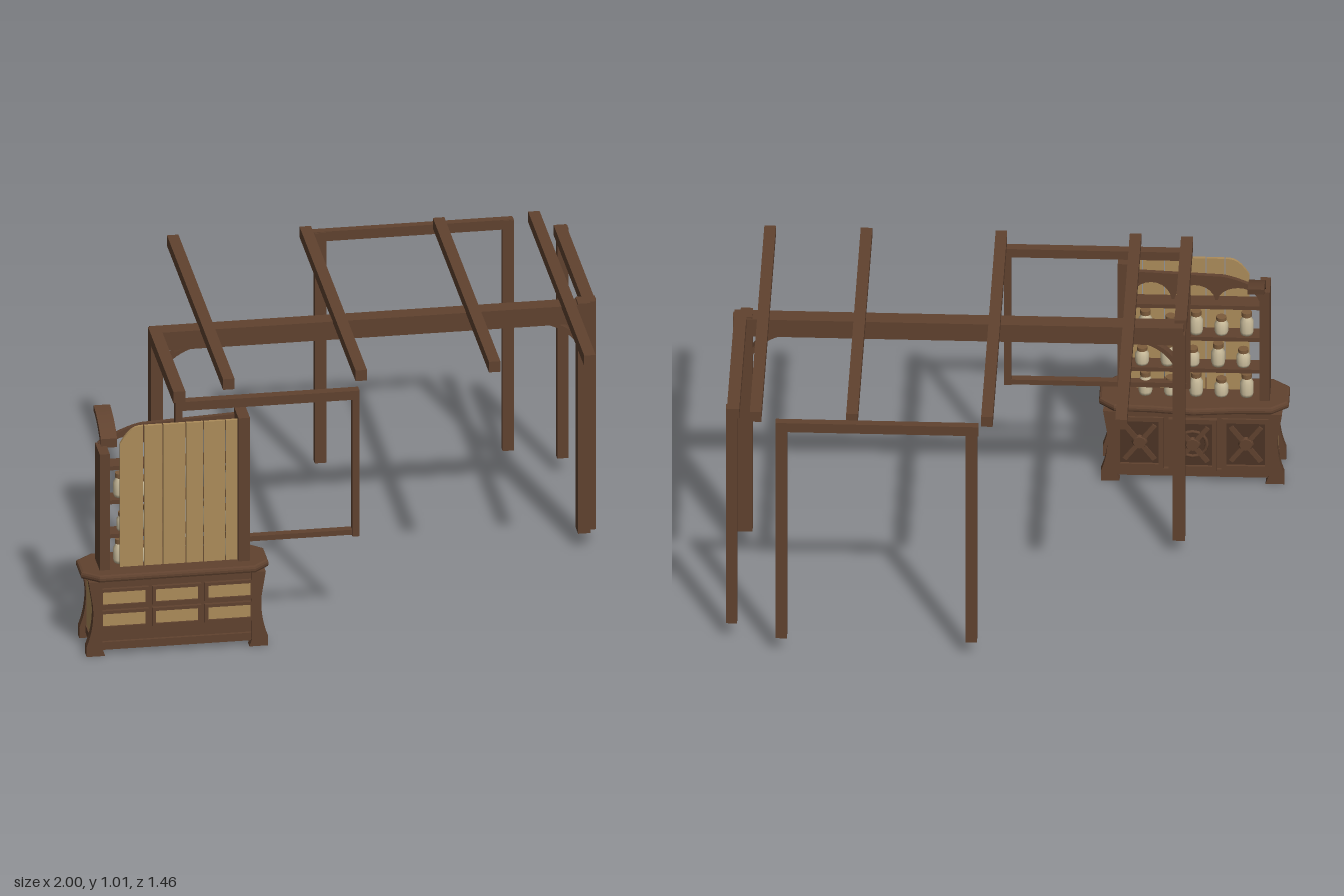
import * as THREE from 'three';

const mat = (name, color) => Object.assign(new THREE.MeshStandardMaterial({ color }), { name });

export function createModel() {
  const wood = mat('brown wood', 0x60422f);
  const darkWood = mat('dark wood', 0x4c3425);
  const pale = mat('pale plank', 0xac8c5a);
  const cream = mat('cream jar', 0xcbbd9c);
  const cork = mat('jar lid', 0x7d5c3c);

  const model = new THREE.Group();
  model.name = 'pergolaWithDresser';
  const group = (name, parent = model) => {
    const g = new THREE.Group();
    g.name = name;
    parent.add(g);
    return g;
  };
  const add = (parent, name, geo, m) => {
    const mesh = new THREE.Mesh(geo, m);
    mesh.name = name;
    parent.add(mesh);
    return mesh;
  };
  // Box given by its limits on each axis
  const box = (parent, name, m, [x0, x1], [y0, y1], [z0, z1]) => {
    const b = add(parent, name, new THREE.BoxGeometry(x1 - x0, y1 - y0, z1 - z0), m);
    b.position.set((x0 + x1) / 2, (y0 + y1) / 2, (z0 + z1) / 2);
    return b;
  };
  const shapeOf = pts => new THREE.Shape(pts.map(p => new THREE.Vector2(p[0], p[1])));
  const extrude = (shape, depth, opts = {}) =>
    new THREE.ExtrudeGeometry(shape, { depth, bevelEnabled: false, curveSegments: 10, ...opts });
  // Flat slab with an outline of [x, z] points
  const slab = (parent, name, m, pts, y0, y1, bevel = 0) => {
    const geo = extrude(shapeOf(pts.map(([x, z]) => [x, -z])), y1 - y0 - 2 * bevel,
      { bevelEnabled: bevel > 0, bevelSize: bevel, bevelThickness: bevel, bevelSegments: 2 });
    geo.rotateX(-Math.PI / 2).translate(0, y0 + bevel, 0);
    return add(parent, name, geo, m);
  };

  // ---- Pergola ----
  const pergola = group('pergola');
  box(pergola, 'mainBeam', wood, [-0.64, 0.97], [0.9, 0.972], [-0.005, 0.06]);
  for (const x of [-0.442, 0.045, 0.535, 0.885])
    box(pergola, 'rafter', wood, [x - 0.021, x + 0.021], [0.968, 1.01], [-0.705, 0.585]);
  box(pergola, 'leftSideBeam', wood, [0.947, 0.992], [0.94, 0.98], [-0.64, 0.05]);
  box(pergola, 'rightSideBeam', wood, [-0.65, -0.606], [0.94, 0.985], [0.03, 0.612]);
  box(pergola, 'backBeam', wood, [0.075, 0.81], [0.945, 0.983], [-0.735, -0.705]);
  const posts = [
    [[0.925, 0.97], [0.065, 0.98], [0, 0.063]],
    [[0.955, 0.996], [0.065, 0.98], [0, 0.033]],
    [[-0.645, -0.6], [0.065, 0.94], [0, 0.063]],
    [[0.955, 0.996], [0.065, 0.98], [-0.637, -0.605]],
    [[0.77, 0.812], [0.065, 0.98], [-0.733, -0.702]],
    [[0.08, 0.122], [0.065, 0.98], [-0.733, -0.702]],
  ];
  for (const p of posts) box(pergola, 'post', wood, ...p);

  // Curved braces under the main beam
  for (const [x, s] of [[0.93, -1], [-0.605, 1]]) {
    const brace = new THREE.Shape();
    brace.moveTo(x, 0.79);
    brace.quadraticCurveTo(x + s * 0.02, 0.9, x + s * 0.14, 0.905);
    brace.lineTo(x + s * 0.115, 0.905);
    brace.lineTo(x + s * 0.14, 0.888);
    brace.quadraticCurveTo(x + s * 0.04, 0.88, x + s * 0.012, 0.79);
    const outline = new THREE.Shape();
    outline.moveTo(x, 0.8);
    outline.lineTo(x, 0.835);
    outline.quadraticCurveTo(x + s * 0.045, 0.895, x + s * 0.11, 0.905);
    outline.lineTo(x + s * 0.15, 0.905);
    outline.quadraticCurveTo(x + s * 0.04, 0.885, x, 0.8);
    add(pergola, 'curvedBrace', extrude(outline, 0.035), wood).position.z = 0.012;
  }

  // Open hanging frame
  const frame = group('hangingFrame');
  box(frame, 'frameTopRail', wood, [-0.62, 0.035], [0.905, 0.94], [0.572, 0.608]);
  box(frame, 'frameBottomRail', wood, [-0.63, 0.03], [0.365, 0.385], [0.57, 0.6]);
  for (const x of [0.022, -0.628])
    box(frame, 'frameUpright', wood, [x - 0.013, x + 0.013], [0.36, 0.94], [0.572, 0.606]);

  // ---- Dresser base ----
  const dresser = group('dresser');
  const cx = -0.652;
  slab(dresser, 'counter', wood, [[-0.99, 0.565], [-0.935, 0.52], [-0.8, 0.516], [cx, 0.5], [-0.5, 0.516],
    [-0.37, 0.52], [-0.32, 0.565], [-0.32, 0.67], [-0.37, 0.715], [-0.935, 0.715], [-0.99, 0.67]], 0.293, 0.321, 0.01);
  box(dresser, 'cabinet', wood, [-0.955, -0.35], [0.02, 0.295], [0.535, 0.695]);
  for (const [y0, y1] of [[0.02, 0.05], [0.27, 0.294]])
    box(dresser, 'moulding', wood, [-0.962, -0.342], [y0, y1], [0.522, 0.706]);

  // Flared corner legs
  for (const s of [-1, 1]) {
    const leg = new THREE.Shape();
    leg.moveTo(cx + s * 0.265, 0);
    leg.lineTo(cx + s * 0.333, 0);
    leg.lineTo(cx + s * 0.333, 0.04);
    leg.quadraticCurveTo(cx + s * 0.303, 0.12, cx + s * 0.31, 0.2);
    leg.lineTo(cx + s * 0.325, 0.295);
    leg.lineTo(cx + s * 0.275, 0.295);
    leg.lineTo(cx + s * 0.275, 0.03);
    for (const z of [0.512, 0.682])
      add(dresser, 'cornerLeg', extrude(leg, 0.034), wood).position.z = z;
    const xs = [cx + s * 0.302 - 0.004, cx + s * 0.302 + 0.004];
    box(dresser, 'sidePanel', pale, xs, [0.05, 0.28], [0.547, 0.681]);
  }

  // Drawer fronts with raised rims
  for (const x of [-0.845, cx, -0.459])
    for (const y of [0.223, 0.137]) {
      const rim = shapeOf([[-0.09, -0.037], [0.09, -0.037], [0.09, 0.037], [-0.09, 0.037]]);
      rim.holes.push(shapeOf([[-0.078, -0.025], [-0.078, 0.025], [0.078, 0.025], [0.078, -0.025]]));
      add(dresser, 'drawerRim', extrude(rim, 0.013), wood).position.set(x, y, 0.695);
      box(dresser, 'drawerFront', pale, [x - 0.078, x + 0.078], [y - 0.025, y + 0.025], [0.694, 0.701]);
    }

  // Carved door panels, the middle one standing proud
  [-0.845, cx, -0.459].forEach((x, i) => {
    const z = i === 1 ? 0.517 : 0.526;
    const door = group('carvedDoor', dresser);
    box(door, 'doorPanel', darkWood, [x - 0.085, x + 0.085], [0.055, 0.268], [z, 0.54]);
    const rim = shapeOf([[-0.088, -0.108], [0.088, -0.108], [0.088, 0.108], [-0.088, 0.108]]);
    rim.holes.push(shapeOf([[-0.07, -0.09], [-0.07, 0.09], [0.07, 0.09], [0.07, -0.09]]));
    add(door, 'doorRim', extrude(rim, 0.016), wood).position.set(x, 0.161, z - 0.01);
    for (const a of [-0.9, 0.9]) {
      const bar = box(door, 'carvedBar', wood, [x - 0.009, x + 0.009], [0.066, 0.256], [z - 0.007, z + 0.004]);
      bar.scale.y = 0.95;
      bar.rotation.z = a * 0.72;
    }
    const boss = add(door, 'carvedBoss', new THREE.CylinderGeometry(0.024, 0.032, 0.016, 8), wood);
    boss.rotation.x = -Math.PI / 2;
    boss.position.set(x, 0.161, z - 0.003);
    if (i === 1) {
      const ring = add(door, 'carvedRing', new THREE.TorusGeometry(0.052, 0.007, 6, 16), wood);
      ring.position.set(x, 0.161, z);
    }
  });

  // ---- Shelf unit ----
  const hutch = group('shelfUnit', dresser);
  box(hutch, 'tallSide', wood, [-0.42, -0.378], [0.32, 0.89], [0.565, 0.672]);
  box(hutch, 'shortSide', wood, [-0.93, -0.893], [0.32, 0.782], [0.565, 0.672]);

  // Back planks, cut on a curve at one top corner
  const topEdge = x => (x < -0.78 ? 0.875 - 0.07 * ((-0.78 - x) / 0.075) ** 2 : 0.876);
  const edges = [-0.855, -0.765, -0.695, -0.61, -0.545, -0.465, -0.418];
  for (let i = 0; i < edges.length - 1; i++) {
    const a = edges[i] + 0.002, b = edges[i + 1] - 0.002;
    const pts = [[a, 0.32], [b, 0.32]];
    for (let k = 0; k <= 6; k++) {
      const x = b + (a - b) * k / 6;
      pts.push([x, topEdge(x)]);
    }
    add(hutch, 'backPlank', extrude(shapeOf(pts), 0.012), pale).position.z = 0.64;
  }

  // Shelves
  for (const y of [0.44, 0.575, 0.71])
    box(hutch, 'shelf', wood, [-0.895, -0.418], [y - 0.008, y + 0.008], [0.572, 0.64]);

  // Scalloped trim across the top
  const trim = new THREE.Shape();
  trim.moveTo(-0.92, 0.74);
  trim.lineTo(-0.92, 0.785);
  trim.quadraticCurveTo(-0.82, 0.84, -0.76, 0.85);
  trim.lineTo(-0.418, 0.865);
  trim.lineTo(-0.418, 0.75);
  for (let i = 0; i < 3; i++) {
    const x = -0.425 - i * 0.158;
    trim.lineTo(x, 0.75);
    trim.bezierCurveTo(x - 0.015, 0.845 - i * 0.012, x - 0.135, 0.845 - i * 0.012, x - 0.15, 0.75);
  }
  add(hutch, 'archedTrim', extrude(trim, 0.018), wood).position.z = 0.558;

  // Curved arm reaching out over the counter
  const arm = new THREE.Shape();
  arm.moveTo(-0.6, 0.775);
  arm.lineTo(-0.565, 0.805);
  arm.quadraticCurveTo(-0.51, 0.845, -0.44, 0.85);
  arm.lineTo(-0.437, 0.873);
  arm.quadraticCurveTo(-0.52, 0.865, -0.575, 0.83);
  arm.lineTo(-0.6, 0.81);
  const armMesh = add(hutch, 'curvedArm', extrude(arm, 0.06), wood);
  armMesh.rotation.y = Math.PI / 2;
  armMesh.position.x = -0.915;

  // Jars in two sizes
  const profile = [[0, 0], [0.022, 0], [0.025, 0.01], [0.025, 0.045], [0.016, 0.056], [0.016, 0.062], [0, 0.062]];
  const jarGeo = new THREE.LatheGeometry(profile.map(p => new THREE.Vector2(...p)), 12);
  const lidGeo = new THREE.CylinderGeometry(0.019, 0.019, 0.014, 12);
  [0.321, 0.448, 0.583].forEach((y, row) => {
    for (let i = 0; i < 5; i++) {
      const jar = group('jar', hutch);
      add(jar, 'jarBody', jarGeo, cream);
      add(jar, 'jarLid', lidGeo, cork).position.y = 0.067;
      jar.position.set(-0.845 + i * 0.092 + (row % 2) * 0.012, y, 0.604);
      jar.scale.set(1, (i + row) % 2 ? 0.95 : 1.25, 1);
    }
  });

  return model;
}
